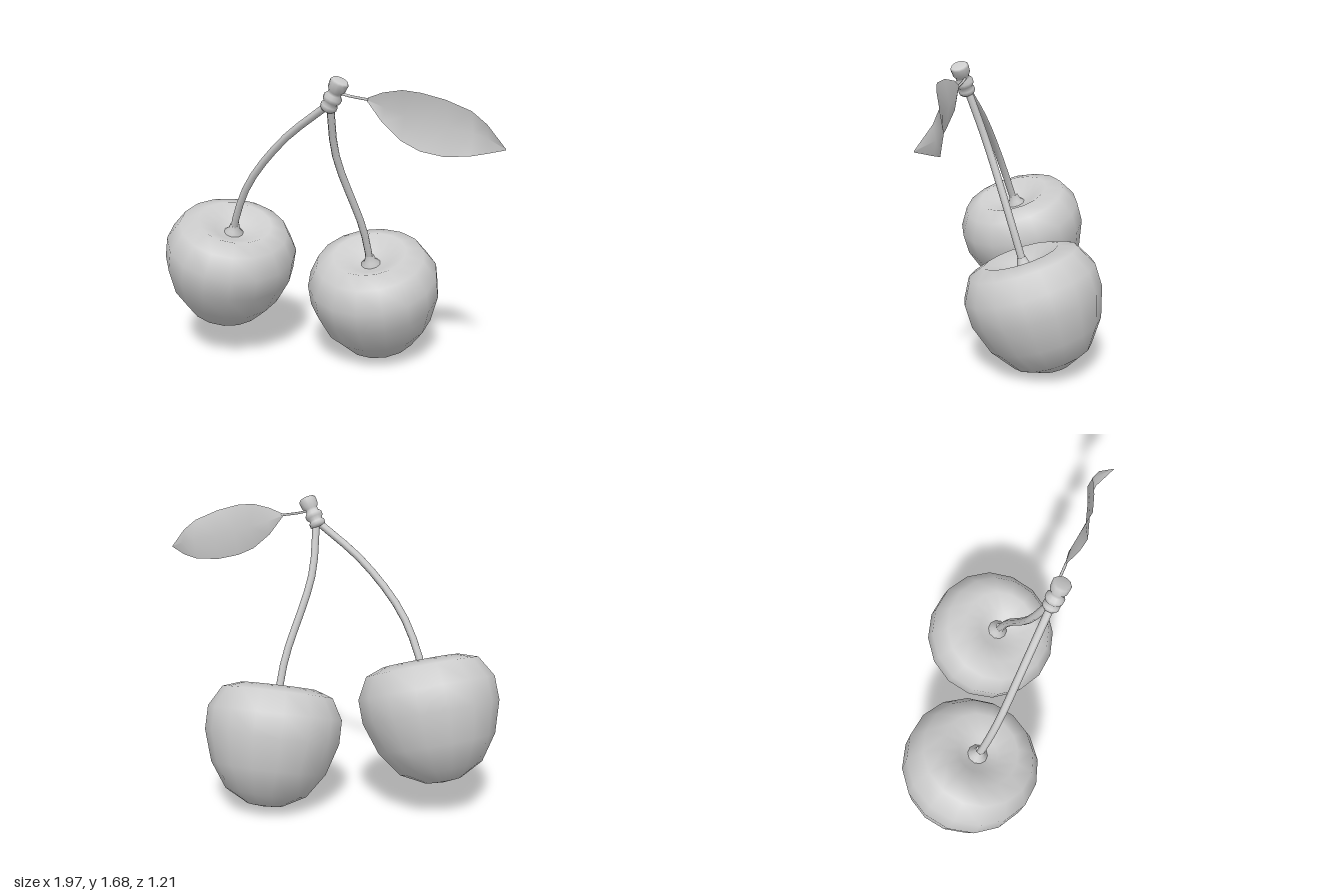
import * as THREE from 'three';

const material = new THREE.MeshStandardMaterial({ color: 0xcccccc });
const leafMaterial = new THREE.MeshStandardMaterial({ color: 0xcccccc, side: THREE.DoubleSide });
const UP = new THREE.Vector3(0, 1, 0);

function lathe(name, profile, sides) {
  const points = profile.map(([r, y]) => new THREE.Vector2(r, y));
  const mesh = new THREE.Mesh(new THREE.LatheGeometry(points, sides), material);
  mesh.name = name;
  return mesh;
}

function tube(name, points, radius, segments = 10) {
  const curve = new THREE.CatmullRomCurve3(points.map((p) => new THREE.Vector3(...p)));
  const mesh = new THREE.Mesh(new THREE.TubeGeometry(curve, segments, radius, 7), material);
  mesh.name = name;
  return mesh;
}

// Stand an upright part on a point, leaning along an axis
function place(object, position, axis) {
  object.position.set(...position);
  object.quaternion.setFromUnitVectors(UP, new THREE.Vector3(...axis).normalize());
  return object;
}

// Fruit with a dimpled top and the flared foot of its stem
function cherry(name) {
  const group = new THREE.Group();
  group.name = name;
  group.add(lathe('fruit', [
    [0, -0.365], [0.1, -0.352], [0.225, -0.285], [0.32, -0.15], [0.375, 0.02],
    [0.375, 0.15], [0.31, 0.265], [0.21, 0.3], [0.11, 0.25], [0, 0.215],
  ], 16));
  const foot = lathe('stemFoot', [[0.055, -0.01], [0.056, 0.012], [0.035, 0.03], [0.024, 0.07]], 10);
  foot.position.y = 0.222;
  group.add(foot);
  return group;
}

// Leaf blade: rows of top edge, midrib and bottom edge from base to tip
function leaf() {
  const rows = [ // x, top y, bottom y, z
    [0.31, 1.578, 1.566, 0.13], [0.39, 1.61, 1.46, 0.105], [0.5, 1.63, 1.375, 0.09],
    [0.6, 1.622, 1.332, 0.07], [0.7, 1.59, 1.307, 0.005], [0.8, 1.535, 1.31, -0.075],
    [0.88, 1.475, 1.33, -0.092], [1, 1.372, 1.366, -0.07],
  ];
  const positions = [];
  const index = [];
  rows.forEach(([x, top, bottom, z], i) => {
    const fold = 0.1 * (top - bottom);
    positions.push(x, top, z, x, (top + bottom) / 2, z - fold, x, bottom, z);
    if (i === 0) return;
    for (let j = 0; j < 2; j++) {
      const a = (i - 1) * 3 + j;
      index.push(a, a + 1, a + 3, a + 1, a + 4, a + 3);
    }
  });
  const geometry = new THREE.BufferGeometry();
  geometry.setAttribute('position', new THREE.Float32BufferAttribute(positions, 3));
  geometry.setIndex(index);
  geometry.computeVertexNormals();
  const mesh = new THREE.Mesh(geometry, leafMaterial);
  mesh.name = 'leaf';
  return mesh;
}

export function createModel() {
  const model = new THREE.Group();
  model.name = 'cherryPair';

  model.add(place(cherry('rightCherry'), [-0.615, 0.53, 0.235], [0.31, 0.94, 0.12]));
  model.add(place(cherry('leftCherry'), [0.11, 0.37, -0.23], [0.08, 0.95, 0.3]));

  model.add(tube('rightStem', [
    [-0.545, 0.73, 0.265], [-0.5, 0.85, 0.28], [-0.38, 1.07, 0.288],
    [-0.15, 1.33, 0.255], [0.13, 1.545, 0.2],
  ], 0.021));
  model.add(tube('leftStem', [
    [0.127, 0.57, -0.165], [0.13, 0.8, -0.09], [0.085, 1.25, 0.1], [0.125, 1.54, 0.195],
  ], 0.021));

  // Ringed woody knot joining the stems
  const knot = lathe('stemKnot', [
    [0, 0], [0.034, 0], [0.045, 0.014], [0.045, 0.032], [0.036, 0.045], [0.048, 0.06],
    [0.05, 0.08], [0.036, 0.098], [0.036, 0.112], [0.047, 0.128], [0.05, 0.168],
    [0.043, 0.178], [0, 0.178],
  ], 12);
  model.add(place(knot, [0.11, 1.508, 0.2], [0.085, 0.155, 0]));

  model.add(tube('leafStalk', [
    [0.16, 1.6, 0.18], [0.22, 1.585, 0.16], [0.32, 1.571, 0.128],
  ], 0.007, 5));
  model.add(leaf());
  return model;
}
